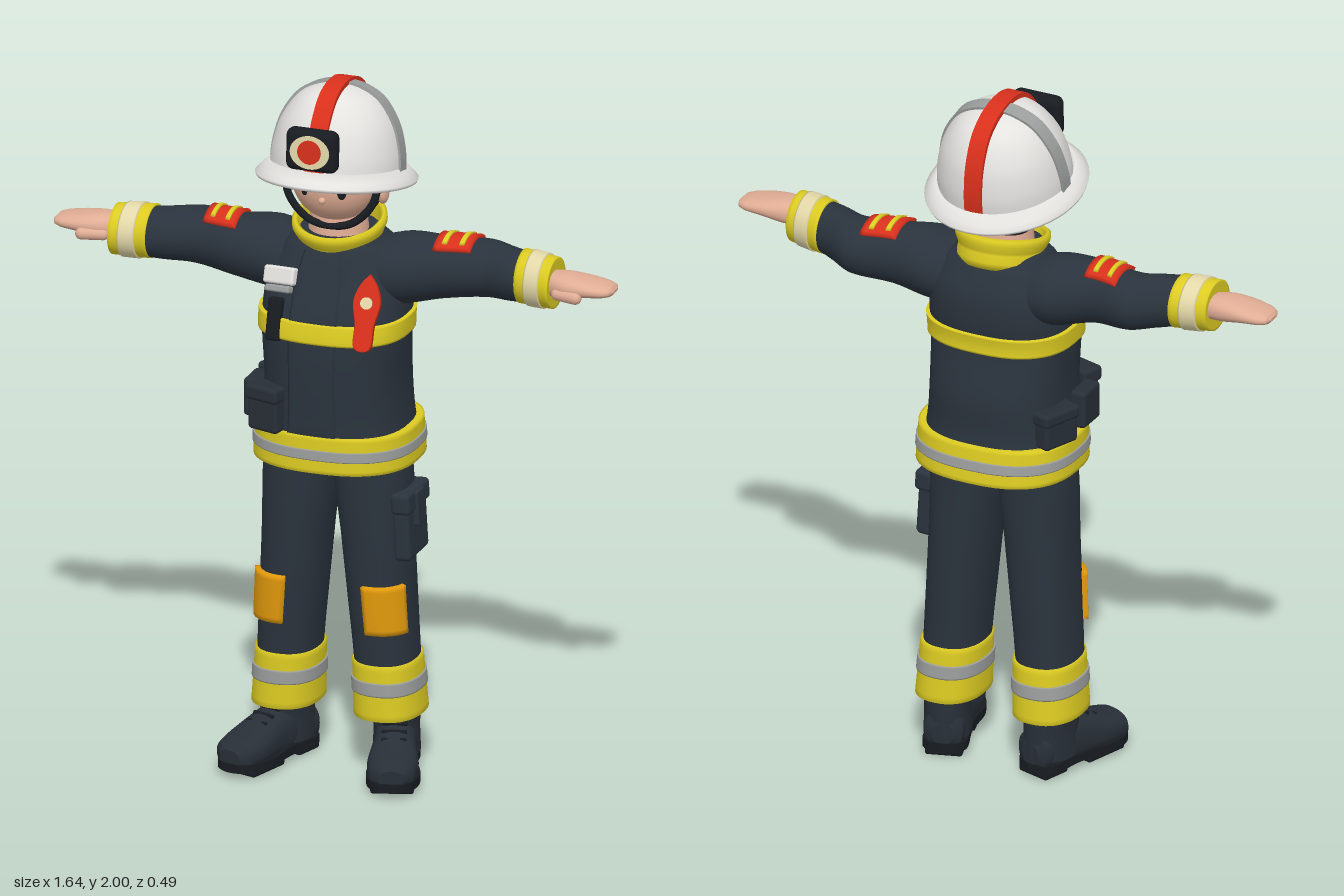
import * as THREE from 'three';
import { RoundedBoxGeometry } from 'three/addons/geometries/RoundedBoxGeometry.js';

const mat = (name, color, side = THREE.FrontSide) => {
  const m = new THREE.MeshStandardMaterial({ color, side });
  m.name = name;
  return m;
};

export function createModel() {
  const navy = mat('navy cloth', 0x2a333d), yellow = mat('yellow trim', 0xdccb22), grey = mat('reflective grey', 0x9b9e9c);
  const red = mat('red', 0xd8301c), orange = mat('orange pad', 0xe29a0c), white = mat('helmet white', 0xe4e2df);
  const skin = mat('skin', 0xe0ac94), black = mat('black', 0x181c21, THREE.DoubleSide), cream = mat('cream', 0xe3d8a8);
  const boot = mat('boot leather', 0x282f37);

  const model = new THREE.Group();
  model.name = 'firefighter';
  const add = (name, geo, m, pos = [0, 0, 0], rot = [0, 0, 0], parent = model) => {
    const mesh = new THREE.Mesh(geo, m);
    mesh.name = name;
    mesh.position.set(...pos);
    mesh.rotation.set(...rot);
    parent.add(mesh);
    return mesh;
  };
  const box = (name, size, m, pos, rot, r = 0.01, parent = model) =>
    add(name, new RoundedBoxGeometry(...size, 3, Math.min(r, Math.min(...size) * 0.45)), m, pos, rot, parent);
  const ball = (name, scale, m, pos, rot, parent = model) =>
    add(name, new THREE.SphereGeometry(1, 32, 24).scale(...scale), m, pos, rot, parent);

  // Smooth a list of rings [position, centreU, centreV, radiusU, radiusV]
  const smooth = (rings, sub = 5) => {
    const out = [], last = rings.length - 1;
    for (let i = 0; i < last; i++) for (let k = 0; k < sub; k++) {
      const t = k / sub, p = [rings[Math.max(i - 1, 0)], rings[i], rings[i + 1], rings[Math.min(i + 2, last)]];
      out.push(rings[i].map((_, c) => {
        const [a, b, d, e] = p.map(r => r[c]);
        if (c === 0) return b + (d - b) * t;
        return 0.5 * (2 * b + (d - a) * t + (2 * a - 5 * b + 4 * d - e) * t * t + (3 * b - a - 3 * d + e) * t * t * t);
      }));
    }
    out.push(rings[last]);
    return out;
  };
  const ringAt = (rings, p) => {
    let i = 0;
    while (i < rings.length - 2 && rings[i + 1][0] < p) i++;
    const t = (p - rings[i][0]) / (rings[i + 1][0] - rings[i][0]);
    return rings[i].map((v, c) => v + (rings[i + 1][c] - v) * t);
  };
  // Skin rings along an axis (0 x, 1 y, 2 z); an angle range leaves an open patch with sunk edges
  const loft = (rings, axis, n = 2, range = null, sunk = 0) => {
    const pos = [], idx = [], seg = range ? 16 : 48, cols = range ? seg + 1 : seg;
    const point = (r, a, g) => {
      const c = Math.cos(a), s = Math.sin(a), v = [0, 0, 0];
      v[axis] = r[0];
      v[(axis + 1) % 3] = r[1] + (r[3] - g) * Math.sign(c) * Math.abs(c) ** (2 / n);
      v[(axis + 2) % 3] = r[2] + (r[4] - g) * Math.sign(s) * Math.abs(s) ** (2 / n);
      return v;
    };
    for (const r of rings) for (let j = 0; j < cols; j++) {
      let a = j / seg * Math.PI * 2, g = 0;
      if (range) {
        const k = Math.min(Math.max((j - 1) / (seg - 2), 0), 1);
        a = range[0] + (range[1] - range[0]) * k;
        g = j === 0 || j === seg ? sunk : 0;
      }
      pos.push(...point(r, a, g));
    }
    for (let i = 0; i < rings.length - 1; i++) for (let j = 0; j < seg; j++) {
      const a = i * cols + j, b = i * cols + (j + 1) % cols;
      idx.push(a, b, b + cols, a, b + cols, a + cols);
    }
    if (!range) for (const end of [0, rings.length - 1]) {
      const r = rings[end], base = pos.length / 3, c = [0, 0, 0];
      c[axis] = r[0]; c[(axis + 1) % 3] = r[1]; c[(axis + 2) % 3] = r[2];
      pos.push(...c);
      for (let j = 0; j < seg; j++) pos.push(...point(r, j / seg * Math.PI * 2, 0));
      for (let j = 0; j < seg; j++) {
        const p = base + 1 + j, q = base + 1 + (j + 1) % seg;
        if (end) idx.push(base, p, q); else idx.push(base, q, p);
      }
    }
    const g = new THREE.BufferGeometry();
    g.setAttribute('position', new THREE.Float32BufferAttribute(pos, 3));
    g.setIndex(idx);
    g.computeVertexNormals();
    return g;
  };
  // Raised band or patch that follows a lofted surface
  const wrap = (rings, axis, p0, p1, grow, n = 2, range = null) => {
    const out = [], bump = (r, g) => [r[0], r[1], r[2], r[3] + g, r[4] + g];
    for (let i = 0; i <= 10; i++) out.push(bump(ringAt(rings, p0 + (p1 - p0) * i / 10), grow));
    out.unshift(bump(ringAt(rings, p0), -0.004));
    out.push(bump(ringAt(rings, p1), -0.004));
    return loft(out, axis, n, range, grow + 0.004);
  };

  // Jacket
  const torso = smooth([[0.95, -0.025, 0, 0.195, 0.215], [1.05, -0.02, 0, 0.187, 0.203], [1.15, -0.018, 0, 0.188, 0.197],
    [1.3, -0.007, 0, 0.174, 0.203], [1.38, -0.022, 0, 0.168, 0.203], [1.46, -0.036, 0, 0.15, 0.19],
    [1.53, -0.036, 0, 0.125, 0.15], [1.57, -0.036, 0, 0.1, 0.11]]);
  add('jacket', loft(torso, 1, 2.5), navy);
  add('frontPlacket', wrap(torso, 1, 1.0, 1.53, 0.005, 2.5, [-0.31, 0.21]), navy);
  add('chestBand', wrap(torso, 1, 1.29, 1.345, 0.01, 2.5), yellow);
  const hem = [[0.915, -0.03, 0, 0.208, 0.23], [1.02, -0.025, 0, 0.198, 0.226]];
  add('jacketHem', wrap(hem, 1, 0.915, 1.02, 0.002, 2.5), yellow);
  add('hemStripe', wrap(hem, 1, 0.953, 0.982, 0.006, 2.5), grey);

  // Collar
  const lathe = (pts, m, name, pos, rot, sz = 1, parent = model) =>
    add(name, new THREE.LatheGeometry(pts.map(p => new THREE.Vector2(...p)), 48).scale(1, 1, sz), m, pos, rot, parent);
  lathe([[0.1, -0.05], [0.118, -0.05], [0.125, -0.03], [0.119, -0.008], [0.122, 0], [0.131, 0.02], [0.131, 0.036],
    [0.122, 0.042], [0.112, 0.036], [0.1, -0.05]], yellow, 'collar', [0, 1.562, -0.033], [0.2, 0, 0], 1.04);
  add('neck', new THREE.CylinderGeometry(0.075, 0.09, 0.14, 32), skin, [0, 1.58, -0.02]);

  // Arms, cuffs, hands and sleeve patches
  for (const s of [1, -1]) {
    const side = s > 0 ? 'left' : 'right', dz = s > 0 ? 0 : 0.03;
    const flip = rings => s > 0 ? rings : rings.map(r => [-r[0], ...r.slice(1)]).reverse();
    const span = (a, b) => s > 0 ? [a, b] : [-b, -a];
    const arm = smooth(flip([[0.08, 1.45, -0.04, 0.09, 0.1], [0.19, 1.467, -0.045, 0.1, 0.113], [0.3, 1.477, -0.06 + dz, 0.088, 0.086],
      [0.42, 1.482, -0.08 + dz, 0.08, 0.084], [0.5, 1.487, -0.047 + dz, 0.074, 0.077], [0.56, 1.49, -0.03 + dz, 0.07, 0.072]]));
    add(side + 'Sleeve', loft(arm, 0), navy);
    const cuff = flip([[0.535, 1.491, -0.035 + dz, 0.074, 0.076], [0.64, 1.491, -0.012 + dz * 0.8, 0.07, 0.073]]);
    add(side + 'Cuff', wrap(cuff, 0, ...span(0.535, 0.64), 0.002), yellow);
    add(side + 'CuffStripe', wrap(cuff, 0, ...span(0.565, 0.612), 0.006), cream);
    add(side + 'SleevePatch', wrap(arm, 0, ...span(0.285, 0.385), 0.01, 2, [-0.75, 0.75]), red);
    for (const x of [0.305, 0.352])
      add(side + 'PatchStripe', wrap(arm, 0, ...span(x, x + 0.014), 0.014, 2, [-0.55, 0.55]), yellow);
    const hand = smooth(flip([[0.62, 1.495, -0.002, 0.034, 0.04], [0.68, 1.498, 0.005, 0.035, 0.055], [0.74, 1.5, 0.005, 0.026, 0.058],
      [0.79, 1.498, 0.003, 0.019, 0.051], [0.812, 1.497, 0.002, 0.013, 0.038], [0.82, 1.497, 0.002, 0.004, 0.02]]));
    add(side + 'Hand', loft(hand, 0, 2.3), skin);
    add(side + 'Thumb', new THREE.CapsuleGeometry(0.017, 0.06, 6, 16), skin, [s * 0.695, 1.482, 0.055], [0, -s * 0.25, Math.PI / 2]);
  }

  // Trousers, knee pads and boots
  for (const s of [1, -1]) {
    const side = s > 0 ? 'left' : 'right';
    const flip = rings => rings.map(r => [r[0], r[1], r[2] * s, r[3], r[4]]);
    const leg = smooth(flip([[0.2, -0.027, 0.15, 0.108, 0.085], [0.33, -0.023, 0.142, 0.108, 0.086], [0.5, -0.02, 0.13, 0.113, 0.09],
      [0.7, -0.018, 0.116, 0.117, 0.096], [0.85, -0.018, 0.106, 0.118, 0.104], [0.96, -0.02, 0.1, 0.12, 0.1]]));
    add(side + 'TrouserLeg', loft(leg, 1, 2.3), navy);
    const cuff = flip([[0.175, -0.03, 0.15, 0.122, 0.094], [0.335, -0.025, 0.142, 0.114, 0.09]]);
    add(side + 'TrouserCuff', wrap(cuff, 1, 0.175, 0.335, 0.002, 2.3), yellow);
    add(side + 'TrouserStripe', wrap(cuff, 1, 0.248, 0.287, 0.006, 2.3), grey);
    add(side + 'KneePad', wrap(leg, 1, 0.43, 0.57, 0.014, 2.3, s > 0 ? [-0.1, 1.1] : [-1.1, 0.1]), orange);

    const foot = new THREE.Group();
    foot.name = side + 'Boot';
    foot.position.set(s * 0.165, 0, -0.03);
    foot.rotation.y = s * 0.3;
    model.add(foot);
    add('bootShaft', loft(smooth([[0.05, -0.02, 0, 0.085, 0.066], [0.13, -0.02, 0, 0.082, 0.064], [0.22, -0.012, 0, 0.085, 0.07]]), 1, 2.2), boot, undefined, undefined, foot);
    add('bootUpper', loft(smooth([[-0.103, 0, 0.07, 0.03, 0.03], [-0.09, 0, 0.075, 0.055, 0.055], [0, 0, 0.085, 0.06, 0.072],
      [0.08, 0, 0.078, 0.062, 0.068], [0.16, 0, 0.068, 0.071, 0.05], [0.22, 0, 0.06, 0.062, 0.042], [0.244, 0, 0.055, 0.035, 0.025]]), 2, 2.4), boot, undefined, undefined, foot);
    const sole = new THREE.Shape().setFromPoints(new THREE.SplineCurve([[0, 0.11], [0.06, 0.08], [0.058, -0.04], [0.075, -0.15], [0.055, -0.225],
      [0, -0.252], [-0.055, -0.225], [-0.075, -0.15], [-0.058, -0.04], [-0.06, 0.08], [0, 0.11]].map(p => new THREE.Vector2(...p))).getPoints(48));
    const soleGeo = new THREE.ExtrudeGeometry(sole, { depth: 0.025, bevelEnabled: false }).rotateX(-Math.PI / 2);
    add('sole', soleGeo, black, [0, 0.018, 0], undefined, foot);
    box('heelTread', [0.105, 0.03, 0.09], black, [0, 0.015, -0.05], undefined, 0.008, foot);
    box('toeTread', [0.12, 0.03, 0.14], black, [0, 0.015, 0.14], undefined, 0.008, foot);
    for (let i = 0; i < 3; i++)
      box('lace', [0.07, 0.01, 0.012], black, [0, 0.152 - i * 0.013, 0.06 + i * 0.03], [0.4, 0, 0], 0.004, foot);
  }

  // Cargo pocket and belt pouches
  box('cargoPocket', [0.05, 0.16, 0.155], navy, [0.212, 0.722, -0.012], [0, 0, 0.06], 0.015);
  box('cargoFlap', [0.056, 0.06, 0.17], navy, [0.212, 0.81, -0.012], [0, 0, 0.06], 0.012);
  box('cargoTab', [0.02, 0.1, 0.06], navy, [0.238, 0.785, -0.01], [0, 0, 0.06], 0.006);
  box('frontPouch', [0.1, 0.12, 0.06], boot, [-0.145, 1.075, 0.148], [0, -0.3, 0], 0.012);
  box('frontPouchFlap', [0.11, 0.045, 0.07], boot, [-0.147, 1.125, 0.148], [0, -0.3, 0], 0.012);
  box('sidePouch', [0.05, 0.11, 0.1], boot, [-0.212, 1.08, 0.05], undefined, 0.012);
  box('rearPouch', [0.06, 0.1, 0.12], boot, [-0.198, 1.07, -0.1], [0, -0.35, 0], 0.012);
  box('rearPouchFlap', [0.068, 0.04, 0.13], boot, [-0.198, 1.11, -0.1], [0, -0.35, 0], 0.012);

  // Chest equipment
  box('chestLamp', [0.1, 0.05, 0.03], white, [-0.122, 1.455, 0.108], [-0.35, -0.25, 0], 0.008);
  box('lampFoot', [0.08, 0.02, 0.03], grey, [-0.122, 1.42, 0.12], [-0.35, -0.25, 0], 0.006);
  box('radio', [0.042, 0.12, 0.03], black, [-0.125, 1.34, 0.145], [-0.25, -0.2, 0], 0.008);
  const tag = new THREE.Group();
  tag.name = 'redTool';
  tag.position.set(0.135, 1.38, 0.122);
  tag.rotation.set(-0.34, 0.2, 0);
  model.add(tag);
  const tagShape = new THREE.Shape().setFromPoints(new THREE.SplineCurve([[0, 0.105], [0.022, 0.075], [0.035, 0.03], [0.024, -0.03], [0.02, -0.095],
    [-0.02, -0.095], [-0.024, -0.03], [-0.035, 0.03], [-0.022, 0.075], [0, 0.105]].map(p => new THREE.Vector2(...p))).getPoints(40));
  add('toolBody', new THREE.ExtrudeGeometry(tagShape, { depth: 0.025, bevelSize: 0.003, bevelThickness: 0.004, bevelSegments: 2 }), red, undefined, undefined, tag);
  add('toolDial', new THREE.CylinderGeometry(0.017, 0.017, 0.008, 24), cream, [0, 0.03, 0.031], [Math.PI / 2, 0, 0], tag);

  // Head
  ball('face', [0.124, 0.122, 0.112], skin, [0, 1.724, 0.002]);
  ball('hair', [0.138, 0.15, 0.108], navy, [0, 1.735, -0.032]);
  ball('nose', [0.01, 0.01, 0.012], skin, [0, 1.69, 0.11]);
  for (const s of [1, -1]) {
    ball('ear', [0.018, 0.036, 0.026], skin, [s * 0.137, 1.698, 0], [0, s * 0.3, 0]);
    ball('eye', [0.014, 0.027, 0.004], black, [s * 0.055, 1.724, 0.103], [0, s * 0.45, 0]);
    box('eyebrow', [0.04, 0.006, 0.006], black, [s * 0.055, 1.768, 0.096], [-0.3, s * 0.45, s * -0.08], 0.002);
  }
  const strap = new THREE.CatmullRomCurve3([[-0.142, 1.76, 0.035], [-0.122, 1.67, 0.045], [-0.065, 1.612, 0.052], [0, 1.598, 0.055],
    [0.065, 1.612, 0.052], [0.122, 1.67, 0.045], [0.142, 1.76, 0.035]].map(p => new THREE.Vector3(...p)));
  add('chinStrap', new THREE.TubeGeometry(strap, 48, 0.011, 8), black);

  // Helmet
  const helmet = new THREE.Group();
  helmet.name = 'helmet';
  helmet.position.set(0, 1.748, -0.008);
  helmet.rotation.x = -0.17;
  model.add(helmet);
  const dome = new THREE.SplineCurve([[0.187, 0], [0.183, 0.06], [0.162, 0.135], [0.118, 0.2], [0.06, 0.232], [0, 0.241]].map(p => new THREE.Vector2(...p))).getPoints(30);
  lathe(dome.map(p => [p.x, p.y]), white, 'shell', [0, 0, -0.005], undefined, 1.02, helmet);
  lathe([[0.175, 0.0], [0.205, -0.025], [0.219, -0.027], [0.222, -0.018], [0.208, -0.004], [0.186, 0.02], [0.175, 0.0]], white, 'brim', undefined, undefined, 1.12, helmet);
  add('liner', new THREE.CircleGeometry(0.185, 40), black, [0, 0.004, 0], [Math.PI / 2, 0, 0], helmet);
  // Strips that run over the shell
  const strip = (name, m, width, lift, turn) => {
    const half = k => dome.map(p => new THREE.Vector2(p.x * k, p.y * k));
    const arch = k => [...half(k), ...half(k).reverse().slice(1).map(p => new THREE.Vector2(-p.x, p.y))];
    const g = new THREE.ExtrudeGeometry(new THREE.Shape([...arch(1 + lift), ...arch(0.97).reverse()]), { depth: width, bevelEnabled: false });
    add(name, g.translate(0, 0, -width / 2).rotateY(turn), m, [0, 0, -0.005], undefined, helmet);
  };
  strip('crest', red, 0.052, 0.055, Math.PI / 2);
  strip('crossBand', grey, 0.045, 0.025, 0);
  // Front badge
  box('badgePlate', [0.15, 0.12, 0.05], black, [0, 1.865, 0.183], [-0.05, 0, 0], 0.022);
  add('badgeFace', new THREE.CylinderGeometry(0.05, 0.05, 0.008, 32).scale(1.15, 1, 0.95), cream, [0, 1.865, 0.207], [Math.PI / 2 - 0.05, 0, 0]);
  add('badgeCentre', new THREE.CylinderGeometry(0.034, 0.034, 0.008, 32), red, [0, 1.867, 0.211], [Math.PI / 2 - 0.05, 0, 0]);
  return model;
}
